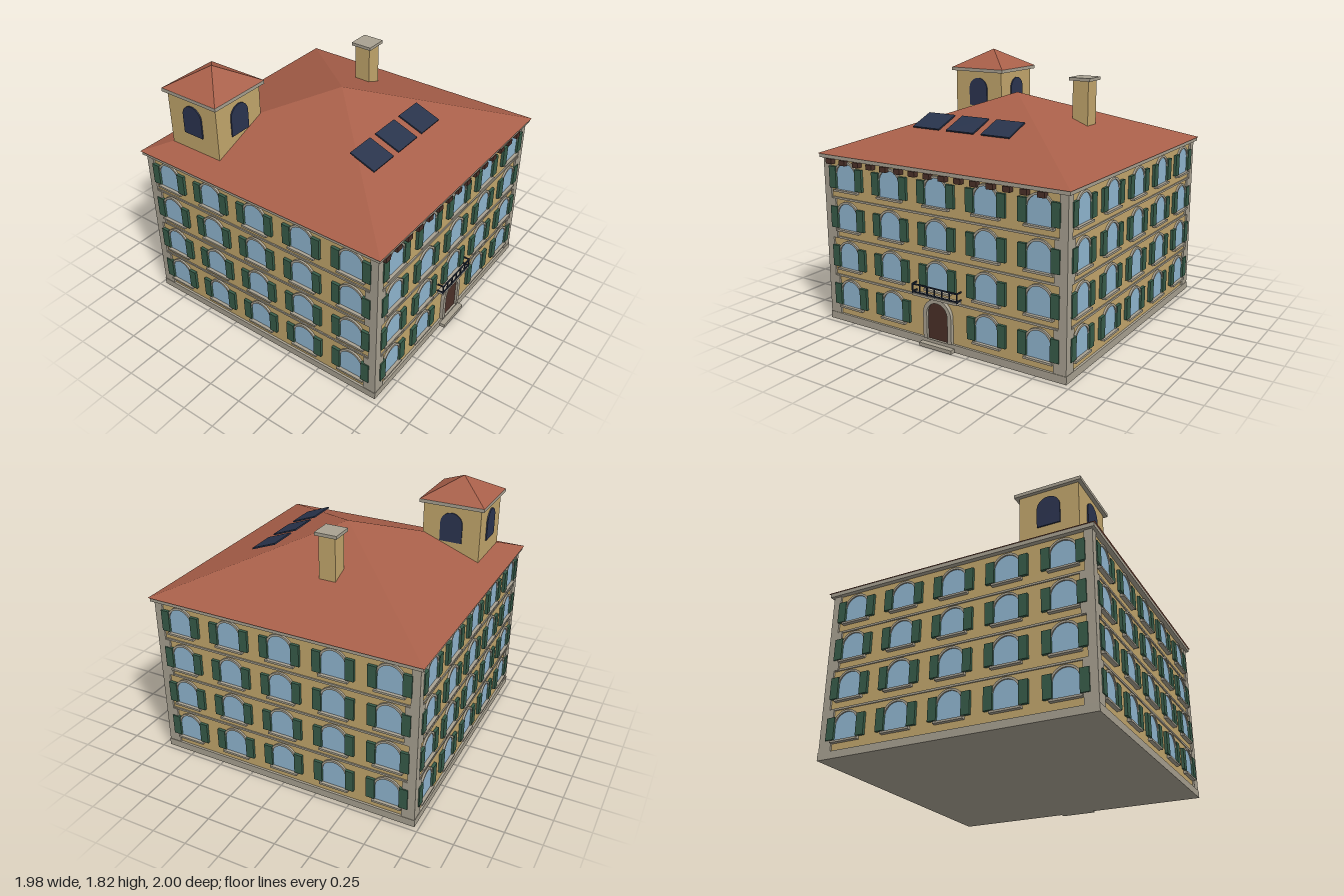
import * as THREE from 'three';

const mat = (name, color, flatShading = false) => {
  const m = new THREE.MeshStandardMaterial({ color, flatShading });
  m.name = name;
  return m;
};

// Arched outline standing on y = 0
function archPoints(path, half, height) {
  path.moveTo(-half, 0);
  path.lineTo(half, 0);
  path.lineTo(half, height - half);
  path.absarc(0, height - half, half, 0, Math.PI, false);
  path.lineTo(-half, 0);
  return path;
}

function archPlate(half, height, depth, hole) {
  const shape = archPoints(new THREE.Shape(), half, height);
  if (hole) shape.holes.push(archPoints(new THREE.Path(), hole.half, hole.height));
  return new THREE.ExtrudeGeometry(shape, { depth, bevelEnabled: false, curveSegments: 12 });
}

export function createModel() {
  const stucco = mat('ochre stucco', 0xc2a66c);
  const stone = mat('grey stone', 0xa8a191);
  const tile = mat('terracotta tile', 0xa85f49, true);
  const glass = mat('sky glass', 0x90b6d0);
  const shutterGreen = mat('shutter green', 0x375c49);
  const wood = mat('dark wood', 0x4b3028);
  const navy = mat('navy opening', 0x2b3450);
  const panelBlue = mat('solar blue', 0x28334b);
  const iron = mat('dark iron', 0x20293a);

  const model = new THREE.Group();
  model.name = 'villa';
  const house = new THREE.Group();
  house.name = 'house';
  house.position.z = -0.004;
  model.add(house);

  const add = (parent, name, geometry, material, x = 0, y = 0, z = 0) => {
    const mesh = new THREE.Mesh(geometry, material);
    mesh.name = name;
    mesh.position.set(x, y, z);
    parent.add(mesh);
    return mesh;
  };
  // Box given by its centre in x and z and its bottom and top in y
  const block = (parent, name, material, w, y0, y1, d, x = 0, z = 0) =>
    add(parent, name, new THREE.BoxGeometry(w, y1 - y0, d), material, x, (y0 + y1) / 2, z);
  const pyramid = (parent, name, half, y0, y1, x = 0, z = 0) => {
    const g = new THREE.ConeGeometry(half * Math.SQRT2, y1 - y0, 4).rotateY(Math.PI / 4);
    return add(parent, name, g, tile, x, (y0 + y1) / 2, z);
  };

  // Main body, plinth, string courses, cornice and roof
  const W = 0.95;
  block(house, 'walls', stucco, 2 * W, 0.05, 1.18, 2 * W);
  block(house, 'plinth', stone, 1.932, 0, 0.052, 1.932);
  for (const y of [0.336, 0.618, 0.901]) block(house, 'stringCourse', stone, 1.916, y - 0.007, y + 0.007, 1.916);
  block(house, 'cornice', stone, 1.966, 1.18, 1.207, 1.966);
  pyramid(house, 'mainRoof', 0.992, 1.207, 1.588);

  // Corner quoins, alternately long and short
  const quoins = 12, quoinHeight = 1.128 / quoins;
  for (const sx of [-1, 1]) for (const sz of [-1, 1]) {
    for (let i = 0; i < quoins; i++) {
      const size = i % 2 ? 0.058 : 0.092, y = 0.052 + i * quoinHeight;
      const c = 0.963 - size / 2;
      block(house, 'quoin', stone, size, y, y + quoinHeight, size, sx * c, sz * c);
    }
  }

  // Arched windows with surround, sill and a pair of shutters
  const glassGeo = archPlate(0.088, 0.187, 0.005);
  const surroundGeo = archPlate(0.101, 0.202, 0.014, { half: 0.087, height: 0.187 });
  const sillGeo = new THREE.BoxGeometry(0.208, 0.014, 0.028);
  const shutterGeo = new THREE.BoxGeometry(0.06, 0.152, 0.02);
  const addWindow = (parent, x, y) => {
    const win = new THREE.Group();
    win.name = 'window';
    win.position.set(x, y, W);
    parent.add(win);
    add(win, 'glass', glassGeo, glass);
    add(win, 'surround', surroundGeo, stone);
    add(win, 'sill', sillGeo, stone, 0, -0.007, 0.014);
    for (const s of [-1, 1]) add(win, 'shutter', shutterGeo, shutterGreen, s * 0.116, 0.084, 0.011);
  };
  for (let side = 0; side < 4; side++) {
    const facade = new THREE.Group();
    facade.name = ['front', 'left', 'back', 'right'][side] + 'Facade';
    facade.rotation.y = side * Math.PI / 2;
    house.add(facade);
    for (let floor = 0; floor < 4; floor++) {
      for (let col = -2; col <= 2; col++) {
        if (side === 0 && floor === 0 && col === 0) continue;
        addWindow(facade, col * 0.383, 0.117 + floor * 0.2825);
      }
    }
  }

  // Front door and step
  add(house, 'door', archPlate(0.085, 0.262, 0.008), wood, 0, 0.052, W);
  add(house, 'doorSurround', archPlate(0.114, 0.29, 0.025, { half: 0.084, height: 0.262 }), stone, 0, 0.052, W);
  block(house, 'doorStep', stone, 0.262, 0, 0.026, 0.104, 0, 0.952);

  // Balcony above the door
  const balcony = new THREE.Group();
  balcony.name = 'balcony';
  house.add(balcony);
  block(balcony, 'balconySlab', stone, 0.36, 0.345, 0.361, 0.05, 0, 0.973);
  for (const y of [0.366, 0.42]) {
    block(balcony, 'rail', iron, 0.37, y, y + 0.009, 0.008, 0, 0.995);
    for (const s of [-1, 1]) block(balcony, 'sideRail', iron, 0.008, y, y + 0.009, 0.05, s * 0.181, 0.973);
  }
  for (let i = -3; i <= 3; i++) block(balcony, 'baluster', iron, 0.008, 0.361, 0.425, 0.008, i * 0.0603, 0.995);

  // Wooden brackets under the front eave
  for (let i = 0; i < 15; i++) block(house, 'eaveBracket', wood, 0.05, 1.142, 1.178, 0.04, -0.895 + i * 0.1205, 0.968);

  // Corner tower with an arched opening on every side
  const tower = new THREE.Group();
  tower.name = 'tower';
  tower.position.set(-0.614, 0, -0.61);
  house.add(tower);
  block(tower, 'towerWalls', stucco, 0.426, 1.18, 1.66, 0.426);
  block(tower, 'towerCornice', stone, 0.478, 1.66, 1.685, 0.478);
  pyramid(tower, 'towerRoof', 0.238, 1.685, 1.823);
  const openingGeo = archPlate(0.082, 0.217, 0.009);
  for (let side = 0; side < 4; side++) {
    const a = side * Math.PI / 2;
    const opening = add(tower, 'towerOpening', openingGeo, navy, Math.sin(a) * 0.213, 1.393, Math.cos(a) * 0.213);
    opening.rotation.y = a;
  }

  // Chimney
  block(house, 'chimney', stucco, 0.12, 1.3, 1.69, 0.12, 0.475, -0.12);
  block(house, 'chimneyCap', stone, 0.16, 1.69, 1.712, 0.16, 0.475, -0.12);

  // Solar panels lying along the front roof slope
  const slope = Math.atan2(0.381, 0.992);
  for (const x of [-0.36, -0.077, 0.206]) {
    const panel = add(house, 'solarPanel', new THREE.BoxGeometry(0.222, 0.01, 0.2), panelBlue, x, 1.416, 0.498);
    panel.rotation.x = slope;
  }
  return model;
}
